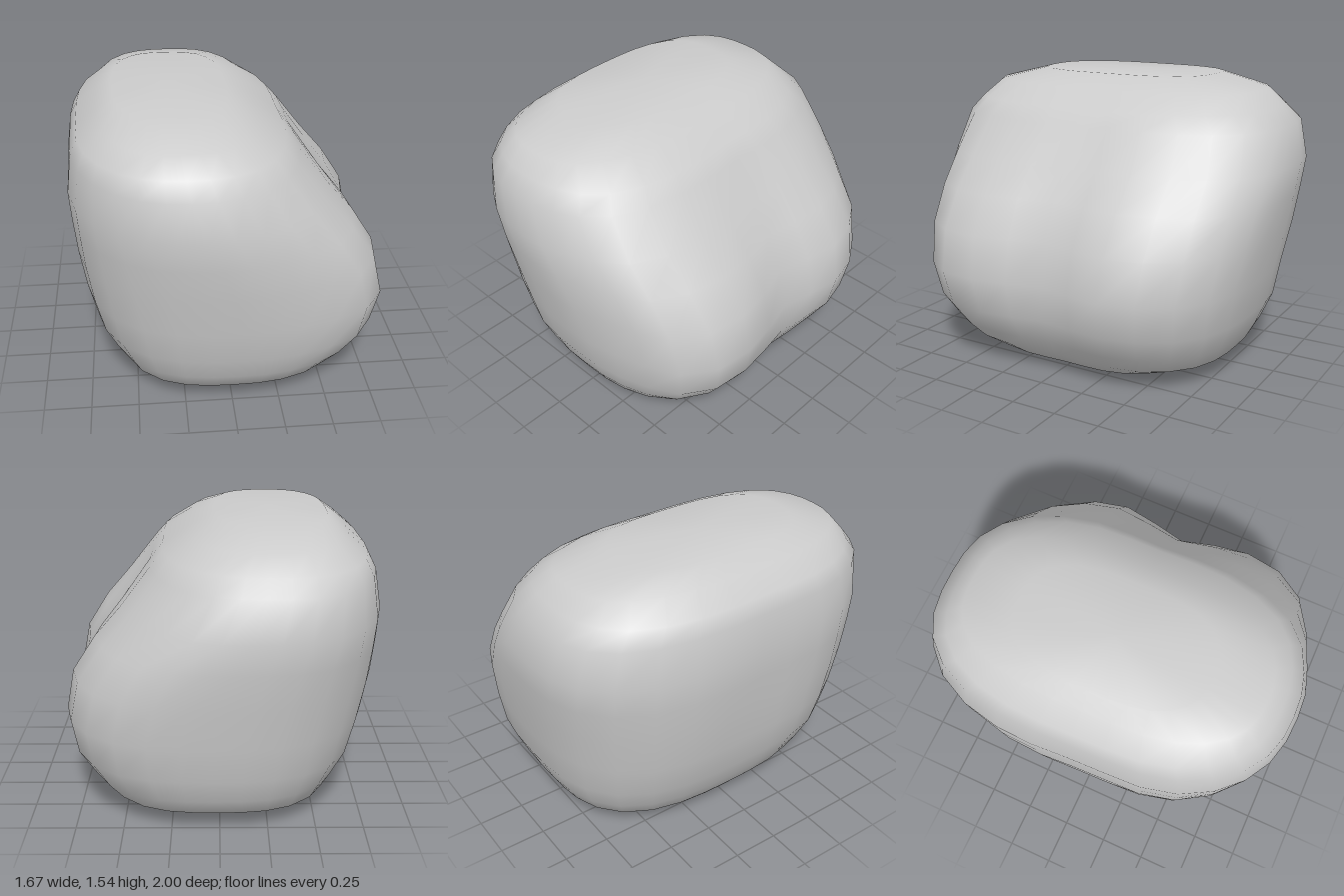
import * as THREE from 'three';

// Rounded cross-sections: height, x min, x max, z back, z front
const RINGS = [
  [0.00, -0.36, 0.30, -0.46, 0.46],
  [0.04, -0.55, 0.56, -0.60, 0.58],
  [0.11, -0.61, 0.64, -0.79, 0.77],
  [0.20, -0.66, 0.72, -0.84, 0.82],
  [0.34, -0.73, 0.81, -0.90, 0.88],
  [0.53, -0.78, 0.85, -0.93, 0.92],
  [0.75, -0.82, 0.81, -0.97, 0.96],
  [0.94, -0.84, 0.69, -0.99, 0.99],
  [1.10, -0.85, 0.55, -1.00, 1.00],
  [1.30, -0.82, 0.39, -0.95, 0.97],
  [1.38, -0.78, 0.32, -0.86, 0.90],
  [1.47, -0.67, 0.17, -0.77, 0.82],
  [1.54, -0.58, 0.03, -0.49, 0.54],
];
const SIDES = 32;
const POWER = 2.9; // boxiness of each cross-section

// Swellings and hollows at the corners: amount, angle, angular width, height, height width
const LUMPS = [
  [0.05, 0.66, 0.22, 0.45, 0.4],
  [-0.04, 1.1, 0.22, 0.85, 0.5],
  [-0.05, 2.3, 0.4, 1.25, 0.5],
  [-0.05, 5.5, 0.4, 1.15, 0.35],
];

const bell = (v, centre, width) => Math.exp(-(((v - centre) / width) ** 2));

// Point on a boxy oval, with lumpy corners and shallow hollows in both flanks
function ringPoint([y, x0, x1, z0, z1], angle) {
  const c = Math.cos(angle), s = Math.sin(angle);
  let r = (Math.abs(c) ** POWER + Math.abs(s) ** POWER) ** (-1 / POWER);
  for (const [amount, a, aw, h, hw] of LUMPS) r *= 1 + amount * bell(angle, a, aw) * bell(y, h, hw);
  const z = (z0 + z1) / 2 + (r * s * (z1 - z0)) / 2;
  let x = (x0 + x1) / 2 + (r * c * (x1 - x0)) / 2;
  if (c > 0) x -= 0.11 * c * bell(z, -0.02, 0.24) * bell(y, 0.68, 0.5);
  else x -= 0.03 * c * bell(z, 0.12, 0.3) * bell(y, 0.9, 0.5);
  return [x, y, z];
}

export function createModel() {
  const positions = [], index = [];
  for (const ring of RINGS) {
    for (let i = 0; i < SIDES; i++) positions.push(...ringPoint(ring, (i / SIDES) * Math.PI * 2));
  }

  // Skin between neighbouring cross-sections
  const last = RINGS.length - 1;
  for (let j = 0; j < last; j++) {
    for (let i = 0; i < SIDES; i++) {
      const a = j * SIDES + i, b = j * SIDES + ((i + 1) % SIDES);
      index.push(a, a + SIDES, b, b, a + SIDES, b + SIDES);
    }
  }

  // Flat underside and top
  const bottom = positions.length / 3, top = bottom + 1;
  positions.push(-0.03, 0, 0, -0.27, 1.545, 0.02);
  for (let i = 0; i < SIDES; i++) {
    const k = (i + 1) % SIDES;
    index.push(bottom, i, k, top, last * SIDES + k, last * SIDES + i);
  }

  const geometry = new THREE.BufferGeometry();
  geometry.setAttribute('position', new THREE.Float32BufferAttribute(positions, 3));
  geometry.setIndex(index);
  geometry.computeVertexNormals();

  const boulder = new THREE.Mesh(geometry, new THREE.MeshStandardMaterial({ color: 0xcccccc }));
  boulder.name = 'boulder';
  const group = new THREE.Group();
  group.name = 'rock';
  group.add(boulder);
  return group;
}
